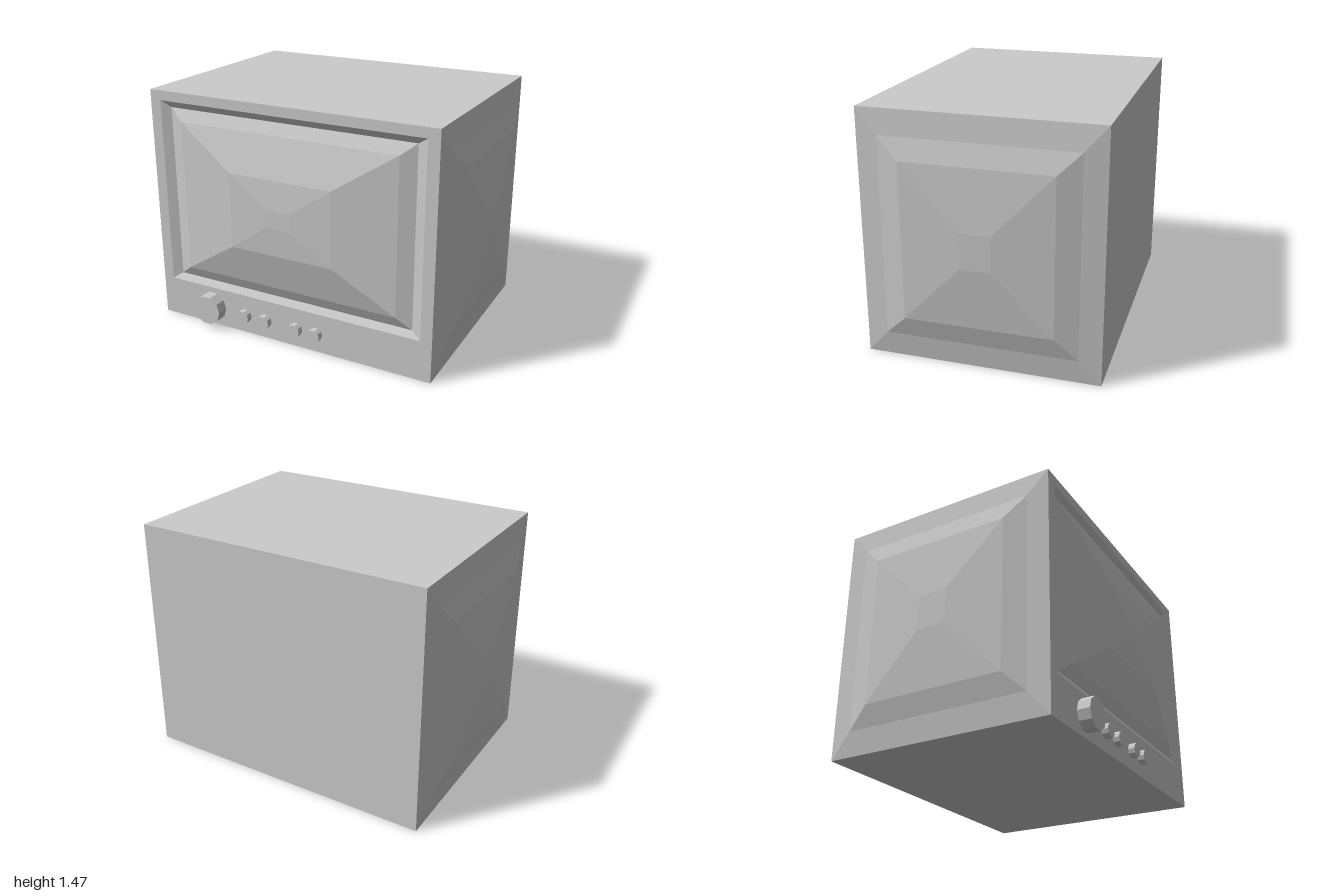
import * as THREE from 'three';

const material = new THREE.MeshStandardMaterial({ color: 0xcccccc, flatShading: true });

// Surface facing +z made of nested rectangles [halfWidth, halfHeight, z, centreY]
function panel(rings, capped = true) {
  const pos = [], index = [];
  rings.forEach(([w, h, z, cy = 0]) => {
    pos.push(-w, cy - h, z, w, cy - h, z, w, cy + h, z, -w, cy + h, z);
  });
  for (let r = 0; r < rings.length - 1; r++) {
    for (let i = 0; i < 4; i++) {
      const a = r * 4 + i, b = r * 4 + (i + 1) % 4;
      index.push(a, b, b + 4, a, b + 4, a + 4);
    }
  }
  if (capped) {
    const n = (rings.length - 1) * 4;
    index.push(n, n + 1, n + 2, n, n + 2, n + 3);
  }
  const g = new THREE.BufferGeometry();
  g.setAttribute('position', new THREE.Float32BufferAttribute(pos, 3));
  g.setIndex(index);
  const flat = g.toNonIndexed();
  flat.computeVertexNormals();
  return flat;
}

export function createModel() {
  const group = new THREE.Group();
  const add = (name, geometry, x = 0, y = 0, z = 0) => {
    const mesh = new THREE.Mesh(geometry, material);
    mesh.name = name;
    mesh.position.set(x, y, z);
    group.add(mesh);
  };

  const W = 0.92, H = 0.735, D = 0.6925; // half sizes of the cabinet
  const midZ = -0.0425, front = midZ + D;

  // Flat cabinet walls
  add('cabinetBack', panel([[W, H, D]]).rotateY(Math.PI), 0, H, midZ);
  add('cabinetTop', panel([[W, D, H]]).rotateX(-Math.PI / 2), 0, H, midZ);
  add('cabinetBottom', panel([[W, D, H]]).rotateX(Math.PI / 2), 0, H, midZ);

  // Bulging side walls
  for (const side of [1, -1]) {
    const bulge = panel([
      [D, H, W], [0.565, 0.59, 0.938], [0.435, 0.465, 0.972], [0.09, 0.105, 1],
    ]);
    add(side > 0 ? 'leftSide' : 'rightSide', bulge.rotateY(side * Math.PI / 2), 0, H, midZ);
  }

  // Front frame with sloping lip around the screen
  add('frontFrame', panel([
    [W, H, front, H], [0.85, 0.58, front, 0.83], [0.79, 0.54, 0.625, 0.83],
  ], false));

  // Domed screen
  add('screen', panel([
    [0.79, 0.54, 0.625], [0.7, 0.47, 0.658], [0.33, 0.23, 0.722], [0.08, 0.055, 0.735],
  ]), 0, 0.83, 0);

  // Control knobs: x, y, radius, length
  [
    ['channelKnob', -0.545, 0.125, 0.094, 0.075],
    ['smallKnob', -0.305, 0.117, 0.042, 0.04],
    ['smallKnob', -0.16, 0.117, 0.042, 0.04],
    ['smallKnob', 0.055, 0.117, 0.042, 0.04],
    ['smallKnob', 0.19, 0.117, 0.042, 0.04],
  ].forEach(([name, x, y, r, len]) => {
    const knob = new THREE.CylinderGeometry(r, r, len, 10);
    knob.rotateY(Math.PI / 2).rotateX(Math.PI / 2);
    add(name, knob, x, y, front + len / 2);
  });

  return group;
}
